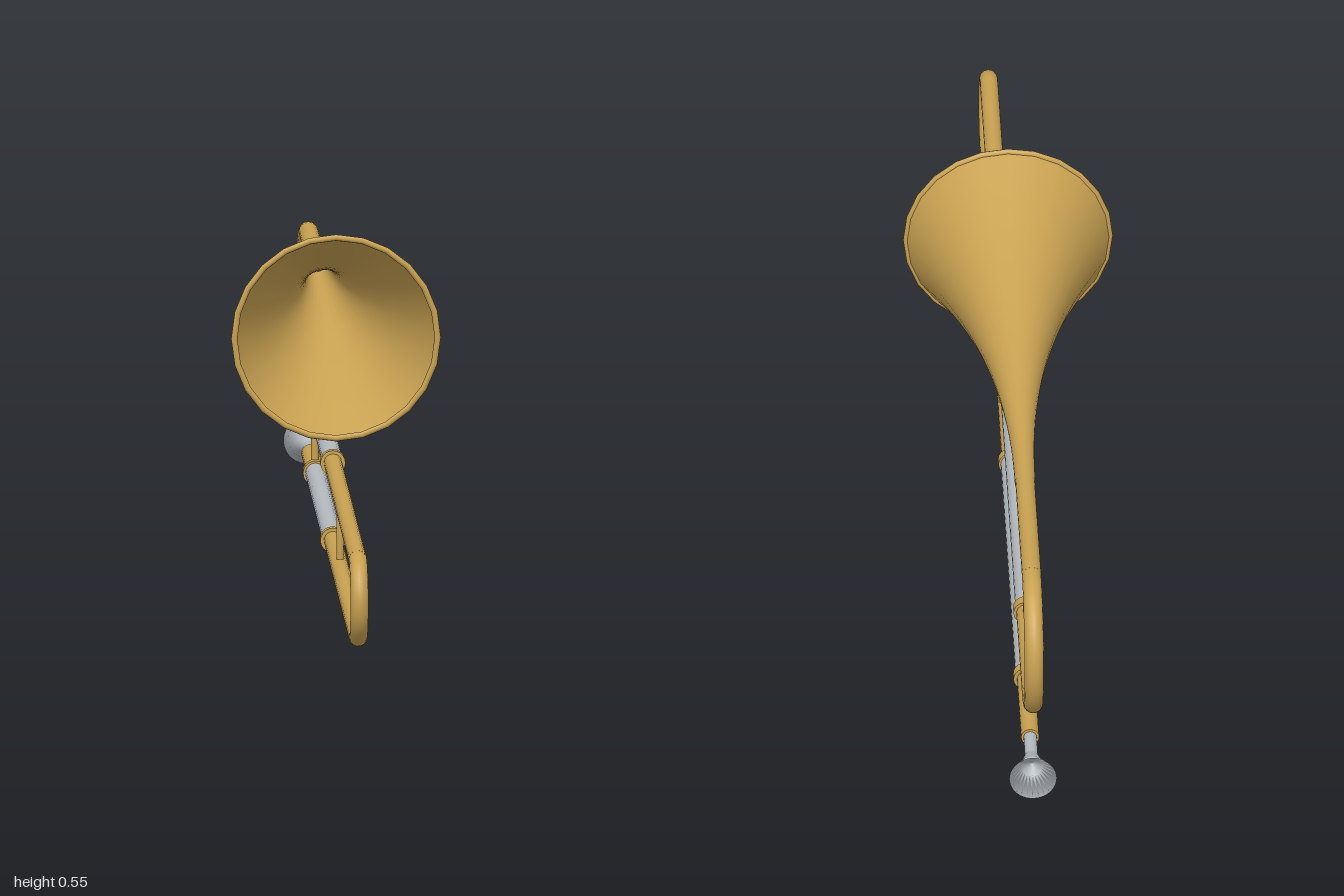
import * as THREE from 'three';

export function createModel() {
  const model = new THREE.Group();
  model.name = 'trombone';
  const brass = new THREE.MeshStandardMaterial({ color: 0xc9a252 });
  brass.name = 'brass';
  const bellBrass = brass.clone();
  bellBrass.side = THREE.DoubleSide;
  const silver = new THREE.MeshStandardMaterial({ color: 0xb4babf });
  silver.name = 'silver';

  const yLow = 0.038, yMid = 0.163, yTop = 0.384;

  function add(name, geometry, material) {
    const mesh = new THREE.Mesh(geometry, material);
    mesh.name = name;
    model.add(mesh);
    return mesh;
  }
  // Straight tube along z
  function tube(name, y, z0, z1, r, material = brass) {
    const g = new THREE.CylinderGeometry(r, r, Math.abs(z1 - z0), 20);
    g.rotateX(Math.PI / 2);
    add(name, g, material).position.set(0, y, (z0 + z1) / 2);
  }
  // Upright brace between two tubes
  function brace(name, z, y0, y1) {
    const g = new THREE.CylinderGeometry(0.006, 0.006, y1 - y0, 10);
    add(name, g, brass).position.set(0, (y0 + y1) / 2, z);
  }
  // Half-circle bend joining two tubes; dir is the way it bulges along z
  function bow(name, y0, y1, z, r, dir) {
    const g = new THREE.TorusGeometry((y1 - y0) / 2, r, 16, 28, Math.PI);
    g.rotateZ(-Math.PI / 2);
    g.rotateY(-dir * Math.PI / 2);
    add(name, g, brass).position.set(0, (y0 + y1) / 2, z);
  }

  // Hand slide: brass outer tubes, silver inner tubes and ring ferrules
  for (const [label, y] of [['lower', yLow], ['upper', yMid]]) {
    tube(label + 'OuterSlide', y, 0, 0.925, 0.0145);
    tube(label + 'InnerSlide', y, -0.63, 0, 0.0165, silver);
    tube(label + 'FrontFerrule', y, -0.002, 0.014, 0.02);
    tube(label + 'RearFerrule', y, -0.638, -0.62, 0.02);
  }
  bow('slideBow', yLow, yMid, 0.925, 0.0145, 1);
  brace('slideBrace', 0.27, yLow, yMid);

  // Rear section: tuning bow and connecting tubes
  tube('neckTube', yMid, -0.63, -0.874, 0.0155);
  tube('bellTube', yTop, -0.59, -0.874, 0.0155);
  bow('tuningBow', yMid, yTop, -0.874, 0.0155, -1);
  brace('rearBrace', -0.655, yLow, yTop);

  // Flared bell with rolled rim
  const profile = [];
  for (let i = 0; i <= 20; i++) {
    const t = i / 20;
    profile.push(new THREE.Vector2(0.0165 + 0.1465 * Math.pow(t, 2.2), -0.6 + 0.727 * t));
  }
  const bell = new THREE.LatheGeometry(profile, 24);
  bell.rotateX(Math.PI / 2);
  add('bell', bell, bellBrass).position.y = yTop;
  const rim = new THREE.TorusGeometry(0.162, 0.005, 8, 24);
  rim.rotateZ(Math.PI / 2);
  add('bellRim', rim, brass).position.set(0, yTop, 0.126);

  // Lead pipe and mouthpiece
  tube('leadPipe', yLow, -0.63, -0.81, 0.0145);
  tube('mouthpieceShank', yLow, -0.8, -0.88, 0.0105, silver);
  const cupProfile = [[0.0105, 0.865], [0.018, 0.892], [0.038, 0.932], [0.016, 0.898], [0, 0.885]]
    .map(([r, d]) => new THREE.Vector2(r, d));
  const cup = new THREE.LatheGeometry(cupProfile, 24);
  cup.rotateX(-Math.PI / 2);
  add('mouthpieceCup', cup, silver).position.y = yLow;

  return model;
}
